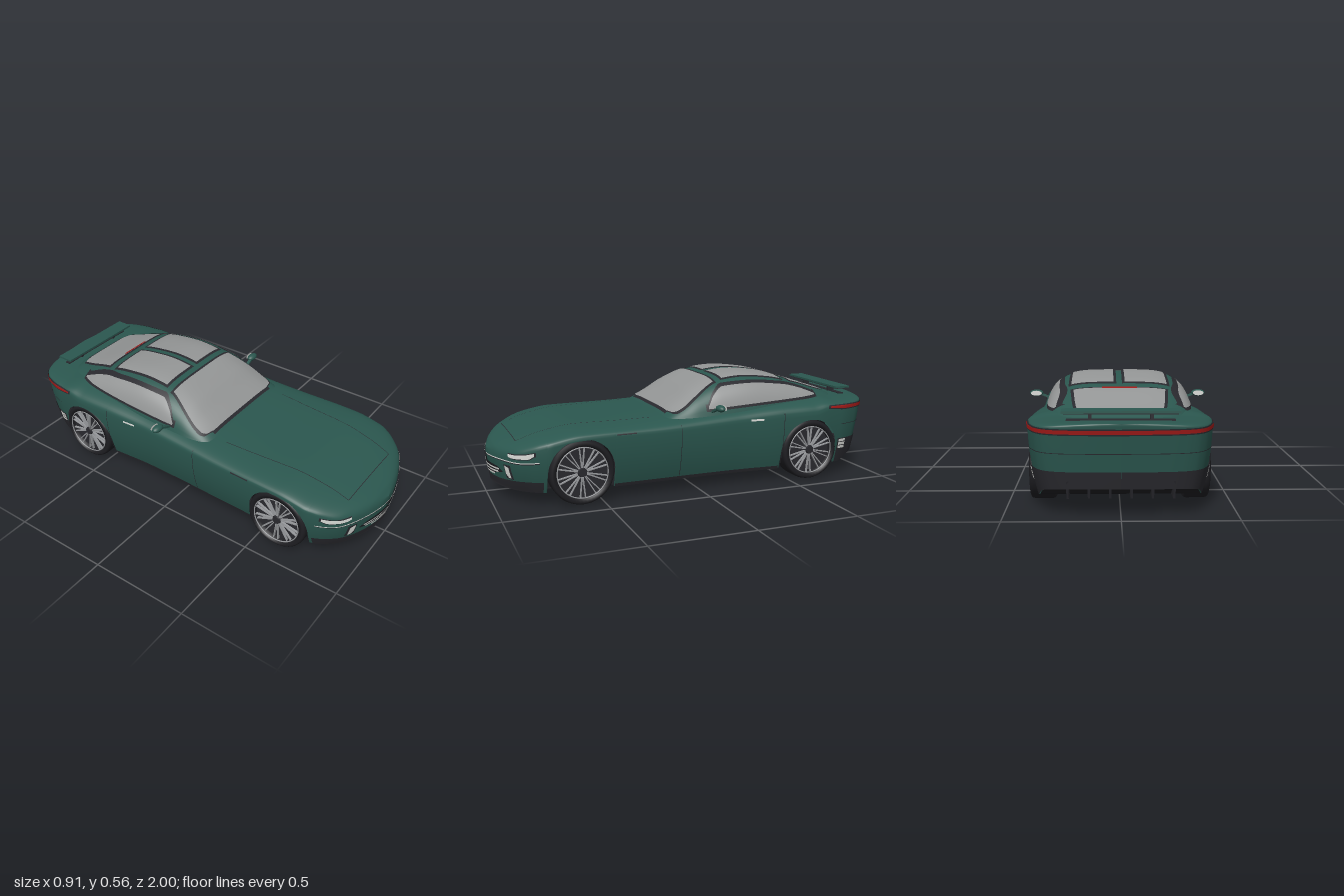
import * as THREE from 'three';

const material = (name, color) => new THREE.MeshStandardMaterial({ name, color, side: THREE.DoubleSide });
const paint = material('green paint', 0x2b574f);
const glass = material('grey glass', 0x949696);
const trim = material('dark trim', 0x29292e);
const rubber = material('black rubber', 0x1e1e22);
const silver = material('silver', 0xdcddd9);
const alloy = material('grey alloy', 0x96989b);
const red = material('red light', 0xa01a18);

// Monotone smooth curve through [position, value] pairs, held constant past its ends
function curve(p) {
  const d = p.slice(1).map((q, i) => (q[1] - p[i][1]) / (q[0] - p[i][0]));
  const m = p.map((_, i) => {
    if (i === 0) return d[0];
    if (i === p.length - 1) return d[i - 1];
    return d[i - 1] * d[i] <= 0 ? 0 : 2 * d[i - 1] * d[i] / (d[i - 1] + d[i]);
  });
  return (t) => {
    if (t <= p[0][0]) return p[0][1];
    if (t >= p[p.length - 1][0]) return p[p.length - 1][1];
    let i = 0;
    while (t > p[i + 1][0]) i++;
    const h = p[i + 1][0] - p[i][0], s = (t - p[i][0]) / h, r = 1 - s;
    return p[i][1] * (1 + 2 * s) * r * r + m[i] * h * s * r * r
      + p[i + 1][1] * s * s * (3 - 2 * s) - m[i + 1] * h * s * s * r;
  };
}

// Last t in [a, b] for which test holds
function bisect(a, b, test) {
  for (let i = 0; i < 40; i++) {
    const c = (a + b) / 2;
    if (test(c)) a = c; else b = c;
  }
  return a;
}

// A shell is a half-width and top height along z, a rounded top leaning inwards, and a tucked-in lower side
function shell({ width, top, depth, n, lean, tuck, shift }) {
  const sideX = (z, y) => {
    const w = width(z), D = depth(z), M = top(z) - D, h = (y - M) / D;
    if (h > 0) return w * (1 - lean * h) * Math.max(0, 1 - h ** n) ** (1 / n);
    return w * (1 - tuck(z) * ((M - y) / (M - 0.06)) ** 2);
  };
  const side = (z, y, off) => {
    const e = 0.0005, slope = (sideX(z + e, y) - sideX(z - e, y)) / (2 * e), l = Math.hypot(1, slope);
    return [sideX(z, y) + off / l, y, z - off * slope / l + shift(z, y)];
  };
  const over = (z, x, off) => {
    const y = bisect(top(z) - depth(z), top(z), (c) => sideX(z, c) > Math.abs(x));
    return [x, y + off, z + shift(z, y)];
  };
  const front = (x, y, off) => [x, y, side(bisect(0.6, 0.992, (c) => sideX(c, y) > Math.abs(x)), y, off)[2]];
  return { top, depth, n, shift, sideX, side, over, front };
}

// Mesh from rows of points
function grid(name, mat, rows) {
  const cols = rows[0].length, index = [];
  for (let i = 0; i < rows.length - 1; i++) for (let j = 0; j < cols - 1; j++) {
    const a = i * cols + j, b = a + cols;
    index.push(a, a + 1, b, b, a + 1, b + 1);
  }
  const g = new THREE.BufferGeometry();
  g.setAttribute('position', new THREE.Float32BufferAttribute(rows.flat(2), 3));
  g.setIndex(index);
  g.computeVertexNormals();
  const mesh = new THREE.Mesh(g, mat);
  mesh.name = name;
  return mesh;
}

// The tail and nose both rake inwards towards the ground
const clamp01 = (t) => Math.min(1, Math.max(0, t));
const rake = (z, y) => 0.055 * clamp01((0.4 - y) / 0.33) * clamp01((-z - 0.8) / 0.2)
  - 0.02 * clamp01((0.2 - y) / 0.13) * clamp01((z - 0.8) / 0.19);
const body = shell({
  width: curve([[-1, 0], [-0.997, 0.12], [-0.99, 0.22], [-0.975, 0.29], [-0.95, 0.335], [-0.9, 0.37], [-0.8, 0.4],
    [-0.65, 0.413], [-0.45, 0.403], [-0.2, 0.388], [0, 0.39], [0.25, 0.398], [0.6, 0.405], [0.74, 0.402],
    [0.8, 0.382], [0.85, 0.35], [0.89, 0.314], [0.93, 0.245], [0.957, 0.178], [0.975, 0.115], [0.986, 0.06], [0.992, 0]]),
  top: curve([[-1, 0.41], [-0.9, 0.41], [-0.8, 0.413], [-0.68, 0.427], [-0.5, 0.423], [-0.2, 0.401], [0.1, 0.378],
    [0.2, 0.372], [0.4, 0.364], [0.6, 0.36], [0.75, 0.336], [0.89, 0.291], [0.96, 0.258], [0.992, 0.225]]),
  depth: curve([[-1, 0.025], [-0.9, 0.032], [-0.75, 0.05], [-0.63, 0.085], [-0.3, 0.08], [0.2, 0.06], [0.5, 0.046],
    [0.8, 0.046], [0.99, 0.06]]),
  n: 3, lean: 0, tuck: curve([[0.75, 0.12], [0.9, 0.18]]), shift: rake });
const roofLine = curve([[-0.87, 0.4], [-0.81, 0.428], [-0.75, 0.447], [-0.61, 0.493], [-0.45, 0.535],
  [-0.29, 0.551], [-0.14, 0.535], [-0.02, 0.487], [0.06, 0.435], [0.13, 0.39], [0.17, 0.362]]);
const cabin = shell({
  width: curve([[-0.87, 0.28], [-0.75, 0.325], [-0.6, 0.353], [-0.3, 0.36], [0, 0.355], [0.17, 0.34]]),
  top: roofLine, depth: (z) => roofLine(z) - 0.34, n: 4.2, lean: 0.15, tuck: () => 0, shift: () => 0 });

const axles = [0.605, -0.613], wheelR = 0.156, archR = 0.161;
const archEnds = axles.flatMap((a) => [-1, 1].flatMap((s) => [a + s * (archR - 0.0003), a + s * (archR + 0.0003)]));
const inArch = (z) => axles.find((c) => Math.abs(z - c) < archR);
const sill = curve([[-1, 0.125], [-0.93, 0.11], [-0.8, 0.065], [0.85, 0.062], [0.92, 0.062], [0.99, 0.064]]);
const lowerEdge = (z) => {
  const a = inArch(z);
  return a === undefined ? sill(z) : wheelR + Math.sqrt(archR ** 2 - (z - a) ** 2);
};

// Cross-section loft of a shell, open at the bottom
function loft(name, mat, s, zs, bottom) {
  return grid(name, mat, zs.map((z) => {
    const half = [], D = s.depth(z), M = s.top(z) - D, yb = Math.min(bottom(z), M - 0.004);
    const point = (y) => half.push([s.sideX(z, y), y, z + s.shift(z, y)]);
    for (let j = 0; j <= 10; j++) point(yb + (M - yb) * j / 10);
    for (let j = 1; j < 18; j++) point(M + D * Math.sin(Math.PI / 2 * j / 18) ** (2 / s.n));
    const ridge = [0, M + D, z + s.shift(z, M + D)];
    return [...half, ridge, ...half.reverse().map(([x, y, q]) => [-x, y, q])];
  }));
}
const stations = (a, b, n) => Array.from({ length: n + 1 }, (_, i) => a + (b - a) * (1 - Math.cos(Math.PI * i / n)) / 2);

export function createModel() {
  const car = new THREE.Group();
  car.name = 'sportsCar';
  const add = (name, geo, mat, x = 0, y = 0, z = 0, parent = car) => {
    const m = new THREE.Mesh(geo, mat);
    m.name = name;
    m.position.set(x, y, z);
    parent.add(m);
    return m;
  };
  const value = (f, u) => typeof f === 'function' ? f(u) : f;
  // Thin face lying on a shell: u runs along it, v from lo(u) to hi(u)
  const patch = (name, mat, map, u0, u1, lo, hi, off = 0.004, mirror = false, grow = 0) => {
    const us = stations(u0 - grow, u1 + grow, 44);
    for (const s of mirror ? [1, -1] : [1]) car.add(grid(name, mat, us.map((u) => {
      const a = value(lo, u) - grow, b = value(hi, u) + grow;
      return Array.from({ length: 15 }, (_, j) => {
        const [x, y, z] = map(u, a + (b - a) * j / 14, off);
        return [x * s, y, z];
      });
    })));
  };
  const framed = (name, map, u0, u1, lo, hi, mirror) => {
    patch(name + 'Frame', trim, map, u0, u1, lo, hi, 0.003, mirror, 0.013);
    patch(name, glass, map, u0, u1, lo, hi, 0.0055, mirror);
  };

  // Painted shells
  car.add(loft('body', paint, body, [...stations(-1, 0.992, 240), ...archEnds].sort((a, b) => a - b), lowerEdge));
  car.add(loft('cabin', paint, cabin, stations(-0.87, 0.17, 90), () => 0.33));

  // Windows
  const screen = curve([[-0.125, 0.238], [0.09, 0.3], [0.115, 0.288], [0.13, 0.24]]);
  framed('windscreen', cabin.over, -0.125, 0.13, (z) => -screen(z), screen);
  framed('roofPanel', cabin.over, -0.52, -0.18, 0.026, 0.222, true);
  const rear = curve([[-0.81, 0.13], [-0.795, 0.185], [-0.575, 0.212]]);
  framed('rearWindow', cabin.over, -0.81, -0.585, (z) => -rear(z), rear);
  framed('sideWindow', cabin.side, -0.69, -0.06,
    curve([[-0.69, 0.428], [-0.4, 0.417], [-0.06, 0.4]]),
    curve([[-0.69, 0.434], [-0.6, 0.468], [-0.5, 0.492], [-0.3, 0.51], [-0.16, 0.502], [-0.1, 0.465], [-0.06, 0.41]]), true);
  patch('highBrakeLight', red, cabin.over, -0.594, -0.582, -0.08, 0.08, 0.008);

  // Nose
  patch('lowerLip', trim, body.side, 0.78, 0.992, 0.063, curve([[0.78, 0.118], [0.88, 0.116], [0.98, 0.103]]), 0.005, true);
  const chrome = curve([[0.8, 0.216], [0.87, 0.208], [0.95, 0.207], [0.992, 0.2]]);
  patch('chromeLineShadow', trim, body.side, 0.8, 0.992, (z) => chrome(z) - 0.005, chrome, 0.004, true);
  patch('chromeLine', silver, body.side, 0.8, 0.992, chrome, (z) => chrome(z) + 0.005, 0.006, true);
  patch('nosePlate', trim, body.front, -0.034, 0.034, 0.192, 0.207, 0.008);
  patch('grille', rubber, body.front, -0.2, 0.2, curve([[-0.2, 0.143], [0, 0.108], [0.2, 0.143]]),
    curve([[-0.2, 0.15], [-0.15, 0.166], [0.15, 0.166], [0.2, 0.15]]), 0.005);
  for (const [y, w, bend] of [[0.152, 0.18, 0.006], [0.135, 0.165, 0.008], [0.119, 0.12, 0.006]]) {
    const mid = (x) => y + bend * (x / w) ** 2 - 0.003;
    patch('grilleBar', silver, body.front, -w, w, (x) => mid(x) - 0.0045, (x) => mid(x) + 0.0045, 0.008);
  }
  patch('cornerVentFrame', trim, body.front, 0.222, 0.268, 0.118, 0.188, 0.004, true);
  patch('cornerVent', silver, body.front, 0.23, 0.258, curve([[0.23, 0.14], [0.245, 0.124], [0.258, 0.124]]),
    curve([[0.23, 0.184], [0.258, 0.176]]), 0.007, true);
  const lampLo = curve([[0.26, 0.234], [0.28, 0.228], [0.35, 0.231], [0.372, 0.25]]);
  const lampHi = curve([[0.26, 0.245], [0.3, 0.246], [0.34, 0.251], [0.372, 0.262]]);
  patch('headlightFrame', trim, body.front, 0.26, 0.37, lampLo, lampHi, 0.003, true, 0.004);
  patch('headlight', silver, body.front, 0.26, 0.37, lampLo, lampHi, 0.006, true);

  // Tail
  patch('rearLightFrame', trim, body.side, -1, -0.71, curve([[-0.8, 0.358], [-0.71, 0.368]]), 0.386, 0.003, true);
  patch('rearLight', red, body.side, -1, -0.72, curve([[-0.8, 0.364], [-0.72, 0.373]]), 0.381, 0.005, true);
  patch('rearBumper', trim, body.side, -1, -0.785, sill, 0.2, 0.004, true);
  patch('bumperSeam', trim, body.side, -1, -0.8, 0.278, 0.281, 0.003, true);
  for (const y of [0.151, 0.17, 0.189]) patch('rearVent', silver, body.side, -0.842, -0.79, y - 0.0075, y + 0.0075, 0.007, true);
  const fin = new THREE.Shape([[0.68, 0.066], [0.93, 0.078], [0.955, 0.16], [0.8, 0.16]].map((p) => new THREE.Vector2(...p)));
  const finGeo = new THREE.ExtrudeGeometry(fin, { depth: 0.01, bevelEnabled: false }).rotateY(Math.PI / 2);
  for (let i = 0; i < 6; i++) add('diffuserFin', finGeo, trim, (i - 2.5) * 0.09 - 0.005);

  // Rear wing
  add('wing', new THREE.BoxGeometry(0.5, 0.01, 0.085), paint, 0, 0.447, -0.895);
  add('wingUnderside', new THREE.BoxGeometry(0.48, 0.006, 0.07), trim, 0, 0.44, -0.895);
  add('wingBase', new THREE.BoxGeometry(0.46, 0.008, 0.03), trim, 0, 0.409, -0.9);
  for (const s of [-1, 1]) add('wingPost', new THREE.BoxGeometry(0.014, 0.045, 0.035), trim, s * 0.13, 0.42, -0.895);

  // Panel seams and side details
  const hood = curve([[0.22, 0.262], [0.88, 0.212]]);
  patch('hoodSeam', trim, body.over, 0.22, 0.88, (z) => hood(z) - 0.0015, (z) => hood(z) + 0.0015, 0.002, true);
  patch('hoodFrontSeam', trim, body.over, 0.879, 0.882, -0.21, 0.21, 0.002);
  for (const z of [0.105, -0.455]) patch('doorSeam', trim, body.side, z - 0.0015, z + 0.0015, 0.08, 0.36, 0.002, true);
  patch('sideSill', trim, body.side, -0.445, 0.44, 0.06, 0.077, 0.003, true);
  patch('fenderVent', trim, body.side, 0.34, 0.44, 0.322, 0.328, 0.003, true);
  patch('doorHandle', silver, body.side, -0.34, -0.27, 0.332, 0.342, 0.006, true);

  // Underbody and wheel wells
  const floorHalf = (z) => inArch(z) === undefined ? body.sideX(z, sill(z)) : 0.28;
  car.add(grid('underbody', rubber, [...stations(-1, 0.992, 160), ...archEnds].sort((a, b) => a - b).map((z) =>
    [-1, -0.5, 0, 0.5, 1].map((k) => [k * floorHalf(z), sill(z), z + rake(z, sill(z))]))));
  for (const z of axles) {
    add('wheelWell', new THREE.BoxGeometry(0.56, 0.25, 0.325), rubber, 0, 0.195, z);
    for (const s of [-1, 1]) {
      const liner = new THREE.CylinderGeometry(0.163, 0.163, 0.09, 48, 1, true, 0, Math.PI).rotateZ(Math.PI / 2);
      add('archLiner', liner, rubber, s * 0.322, wheelR, z);
    }
  }

  // Wheels: axis along x, outer face at +x before mirroring
  const tyreProfile = [[0.115, -0.055], [0.145, -0.057], [0.153, -0.05], [0.156, -0.04], [0.156, 0.04],
    [0.153, 0.052], [0.145, 0.058], [0.127, 0.058], [0.122, 0.03]].map((p) => new THREE.Vector2(...p));
  const tyreGeo = new THREE.LatheGeometry(tyreProfile, 48).rotateZ(-Math.PI / 2);
  const discGeo = new THREE.CylinderGeometry(0.123, 0.123, 0.08, 40).rotateZ(-Math.PI / 2);
  const rimGeo = new THREE.TorusGeometry(0.122, 0.003, 8, 48).rotateY(Math.PI / 2);
  const hubGeo = new THREE.CylinderGeometry(0.02, 0.026, 0.02, 20).rotateZ(-Math.PI / 2);
  const spokeGeo = new THREE.BoxGeometry(0.012, 0.098, 0.005).translate(0, 0.072, 0);
  for (const z of axles) for (const s of [1, -1]) {
    const wheel = new THREE.Group();
    wheel.name = 'wheel';
    wheel.position.set(s * 0.344, wheelR, z);
    wheel.rotation.y = s > 0 ? 0 : Math.PI;
    add('tyre', tyreGeo, rubber, 0, 0, 0, wheel);
    add('wheelDisc', discGeo, trim, -0.008, 0, 0, wheel);
    add('rim', rimGeo, alloy, 0.055, 0, 0, wheel);
    add('hub', hubGeo, trim, 0.044, 0, 0, wheel);
    for (let i = 0; i < 20; i++) {
      const spoke = add('spoke', spokeGeo, alloy, 0.042, 0, 0, wheel);
      spoke.rotation.x = Math.PI * 2 * (Math.floor(i / 2) + (i % 2 ? 0.16 : -0.16)) / 10;
    }
    car.add(wheel);
  }

  // Door mirrors
  for (const s of [1, -1]) {
    add('mirrorHousing', new THREE.SphereGeometry(1, 24, 16).scale(0.035, 0.017, 0.021), paint, s * 0.422, 0.416, -0.085);
    const face = add('mirrorGlass', new THREE.CircleGeometry(1, 24).scale(0.028, 0.013, 1), silver, s * 0.422, 0.416, -0.107);
    face.rotation.y = Math.PI;
    const arm = add('mirrorArm', new THREE.BoxGeometry(0.07, 0.01, 0.016), paint, s * 0.37, 0.398, -0.08);
    arm.rotation.z = s * 0.4;
  }
  return car;
}
